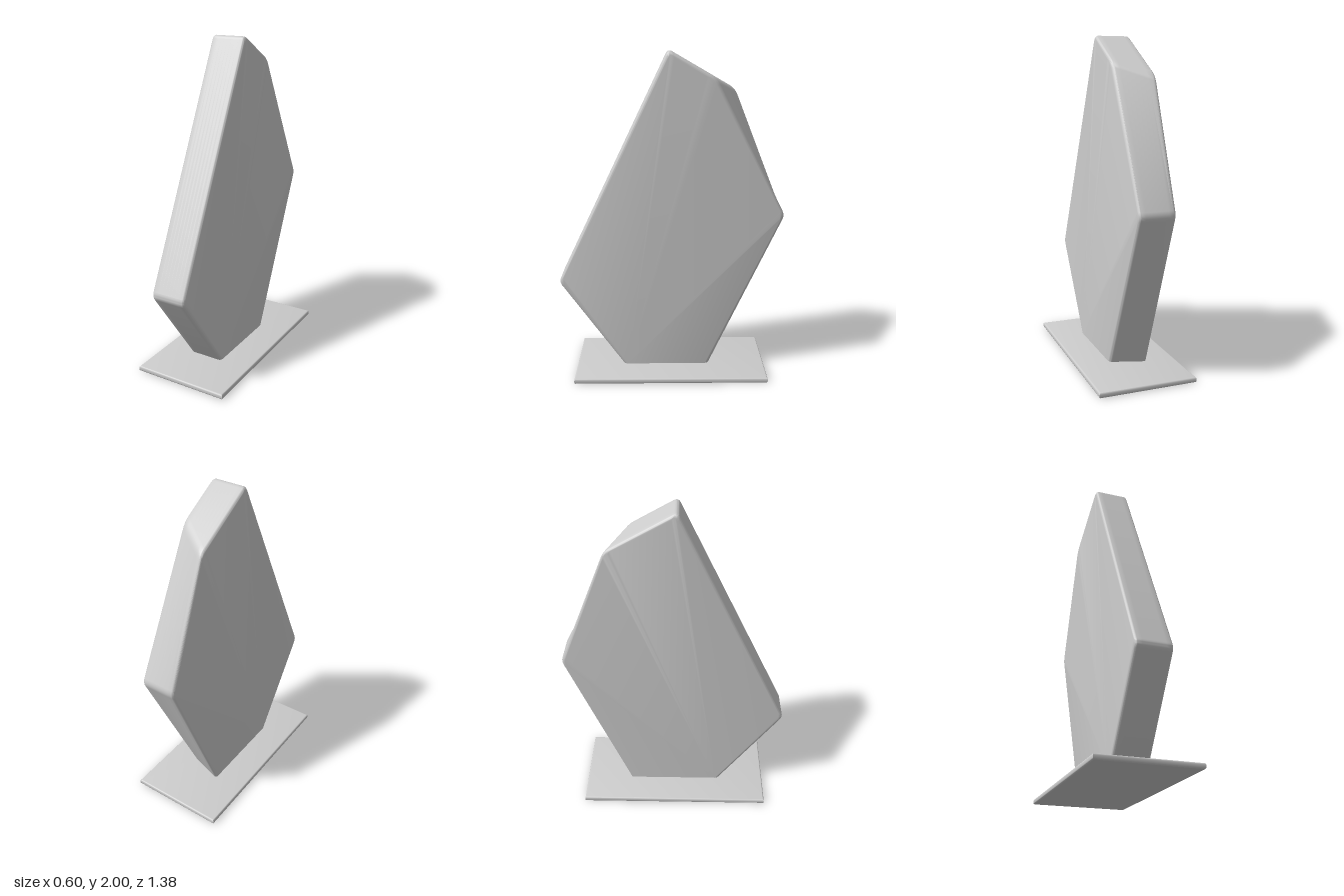
import * as THREE from 'three';
import { toCreasedNormals } from 'three/addons/utils/BufferGeometryUtils.js';

const BOTTOM = 0.042, HALF = 0.11, BEVEL = 0.02;

// Side outlines as [z, y, corner rounding], from the front foot over the top to the back foot
const FRONT = [[0.3, BOTTOM, 0], [0.697, 0.6, 0.03], [0.015, 2.01, 0.03]];
const LEFT = [...FRONT, [-0.26, 1.853, 0.04], [-0.697, 1.025, 0.03], [-0.235, BOTTOM, 0]];
const RIGHT = [...FRONT, [-0.405, 1.77, 0.05], [-0.697, 1.025, 0.03], [-0.305, BOTTOM, 0]];

// Outline moved inward by d on every edge except the foot, with rounded corners
function outline(t, d) {
  const n = LEFT.length;
  const raw = LEFT.map((l, i) => new THREE.Vector2(
    THREE.MathUtils.lerp(RIGHT[i][0], l[0], t), THREE.MathUtils.lerp(RIGHT[i][1], l[1], t)));
  const edges = raw.map((p, i) => {
    const dir = raw[(i + 1) % n].clone().sub(p).normalize();
    const normal = new THREE.Vector2(-dir.y, dir.x);
    return { normal, c: normal.dot(p) + (i === n - 1 ? 0 : d) };
  });
  const corners = raw.map((_, i) => {
    const a = edges[(i + n - 1) % n], b = edges[i];
    const det = a.normal.cross(b.normal);
    return new THREE.Vector2(
      (a.c * b.normal.y - b.c * a.normal.y) / det,
      (b.c * a.normal.x - a.c * b.normal.x) / det);
  });
  const points = [];
  corners.forEach((p, i) => {
    const r = LEFT[i][2];
    if (!r) return points.push(p);
    const toward = q => p.clone().add(q.clone().sub(p).setLength(r));
    const curve = new THREE.QuadraticBezierCurve(
      toward(corners[i - 1]), p, toward(corners[i + 1]));
    points.push(...curve.getPoints(6));
  });
  return points;
}

// Slab lofted across x, with rounded rims on both sides
function slabGeometry() {
  const sections = [];
  const steps = 6, middle = 8, flat = HALF - BEVEL;
  const rim = k => {
    const a = (k / steps) * Math.PI / 2;
    return [flat + BEVEL * Math.sin(a), BEVEL * (1 - Math.cos(a))];
  };
  for (let k = steps; k > 0; k--) sections.push([-rim(k)[0], rim(k)[1]]);
  for (let k = 0; k <= middle; k++) sections.push([flat * (2 * k / middle - 1), 0]);
  for (let k = 1; k <= steps; k++) sections.push(rim(k));

  const positions = [], index = [];
  let count = 0;
  for (const [x, d] of sections) {
    const ring = outline((x + HALF) / (2 * HALF), d);
    count = ring.length;
    for (const p of ring) positions.push(x, p.y, p.x);
  }
  const last = (sections.length - 1) * count;
  for (let s = 0; s < last; s += count) {
    for (let j = 0; j < count; j++) {
      const a = s + j, b = s + (j + 1) % count;
      index.push(a, a + count, b, b, a + count, b + count);
    }
  }
  // Flat side faces
  for (let j = 1; j < count - 1; j++) {
    index.push(0, j, j + 1, last, last + j + 1, last + j);
  }
  const g = new THREE.BufferGeometry();
  g.setAttribute('position', new THREE.Float32BufferAttribute(positions, 3));
  g.setIndex(index);
  return toCreasedNormals(g, 0.5);
}

// Thin plate with bevelled edges
function plateGeometry() {
  const b = 0.01, w = 0.3 - b, l = 0.6 - b;
  const shape = new THREE.Shape([[-w, -l], [w, -l], [w, l], [-w, l]].map(p => new THREE.Vector2(...p)));
  const g = new THREE.ExtrudeGeometry(shape, {
    depth: 0.013, bevelThickness: b, bevelSize: b, bevelSegments: 3 });
  g.rotateX(-Math.PI / 2);
  g.translate(0, b, 0);
  return toCreasedNormals(g, 0.6);
}

export function createModel() {
  const material = new THREE.MeshStandardMaterial({ color: 0xcccccc });
  const model = new THREE.Group();
  model.name = 'facetedAward';
  for (const [name, geometry] of [['basePlate', plateGeometry()], ['facetedSlab', slabGeometry()]]) {
    const mesh = new THREE.Mesh(geometry, material);
    mesh.name = name;
    model.add(mesh);
  }
  return model;
}
